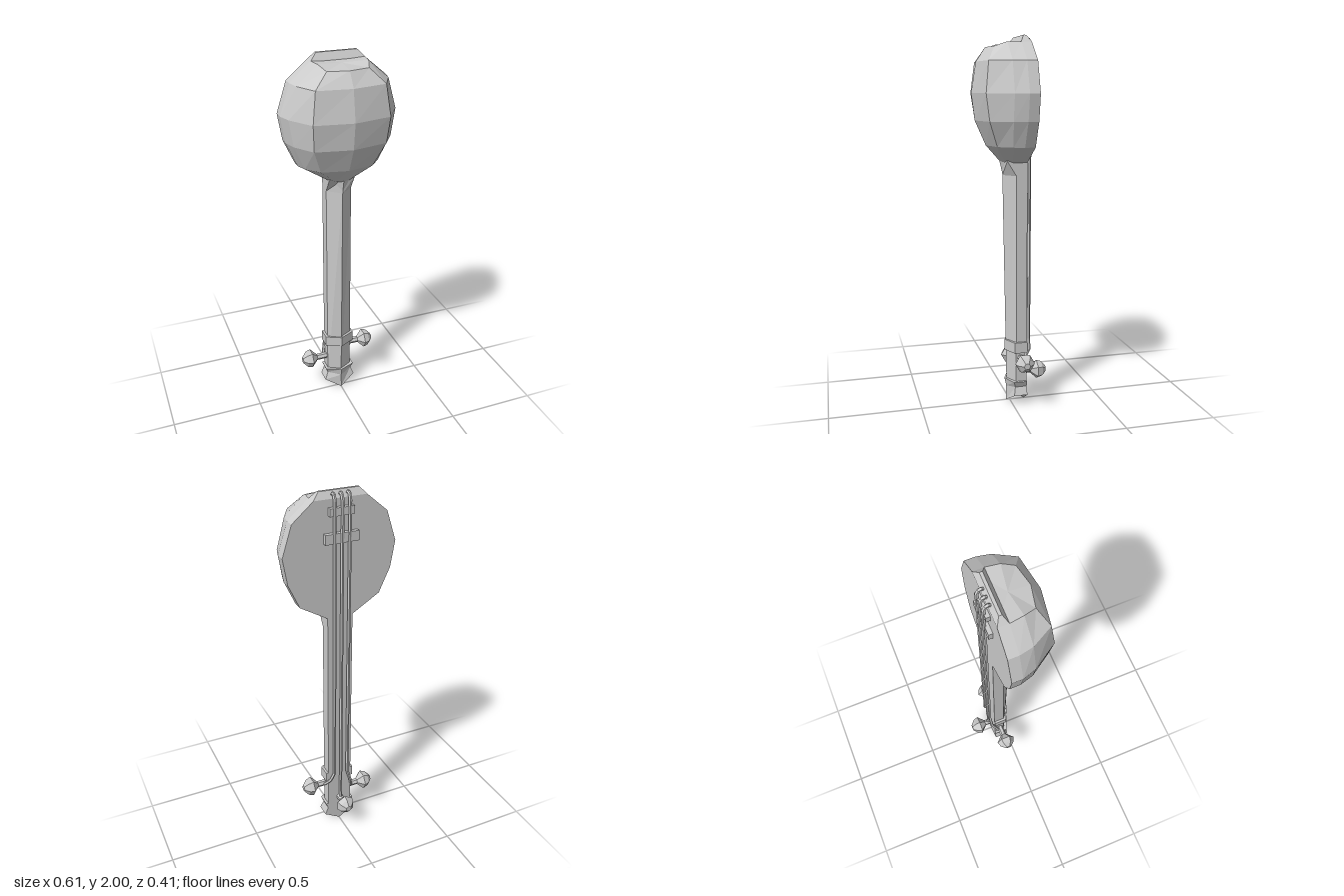
import * as THREE from 'three';

const material = new THREE.MeshStandardMaterial({ color: 0xcccccc, flatShading: true });

function add(group, name, geometry) {
  const mesh = new THREE.Mesh(geometry, material);
  mesh.name = name;
  group.add(mesh);
  return mesh;
}

// Mirrors half sections (back edge to front centre) and skins them from bottom to top.
function loft(rows) {
  const loops = rows.map((half) => {
    const mirrored = half.filter((p) => p[0] > 0).reverse().map(([x, y, z]) => [-x, y, z]);
    return [...half, ...mirrored];
  });
  const n = loops[0].length;
  const pos = [];
  const tri = (a, b, c) => pos.push(...a, ...b, ...c);
  for (let i = 0; i < loops.length - 1; i++) {
    for (let j = 0; j < n; j++) {
      const k = (j + 1) % n;
      const [lo, hi] = [loops[i], loops[i + 1]];
      tri(lo[j], hi[j], lo[k]);
      tri(lo[k], hi[j], hi[k]);
    }
  }
  const middle = (loop) => [0, 1, 2].map((a) => loop.reduce((s, p) => s + p[a], 0) / n);
  const [first, last] = [loops[0], loops[loops.length - 1]];
  const [c0, c1] = [middle(first), middle(last)];
  for (let j = 0; j < n; j++) {
    const k = (j + 1) % n;
    tri(c0, first[j], first[k]);
    tri(c1, last[k], last[j]);
  }
  const geometry = new THREE.BufferGeometry();
  geometry.setAttribute('position', new THREE.Float32BufferAttribute(pos, 3));
  geometry.computeVertexNormals();
  return geometry;
}

// Ridged section of the neck: flat at the back, pointed at the front.
const ridged = (y, w, side, front, centreY = y) => [
  [0, centreY, -0.08], [w, y, -0.08], [w, y, side], [0, centreY, front],
];

function createPeg(name, length) {
  const peg = new THREE.Group();
  peg.name = name;
  const shaft = add(peg, 'pegShaft', new THREE.CylinderGeometry(0.018, 0.018, length, 6));
  shaft.position.y = length / 2;
  const profile = [[0, 0], [0.018, 0], [0.054, 0.035], [0.045, 0.063], [0.018, 0.087], [0, 0.087]];
  const knob = add(peg, 'pegKnob', new THREE.LatheGeometry(profile.map((p) => new THREE.Vector2(...p)), 6));
  knob.position.y = length - 0.005;
  return peg;
}

export function createModel() {
  const model = new THREE.Group();
  model.name = 'stringInstrument';

  // Rounded bowl: height, rim half width, shoulder, front facet and centre depth
  const bowl = [
    [1.35, 0.07, 0.068, 0.0, 0.04, 0.035, 0.05],
    [1.44, 0.22, 0.2, 0.03, 0.14, 0.1, 0.13],
    [1.57, 0.28, 0.26, 0.045, 0.19, 0.15, 0.188],
    [1.71, 0.304, 0.282, 0.045, 0.2, 0.17, 0.206],
    [1.87, 0.252, 0.238, 0.045, 0.18, 0.152, 0.18],
    [1.965, 0.14, 0.13, 0.045, 0.108, 0.107, 0.13],
  ];
  add(model, 'body', loft(bowl.map(([y, w, wm, zm, wi, zi, zc], i) => {
    const dip = i === bowl.length - 1 ? 0.022 : 0;
    return [[w, y, -0.08], [w, y, -0.025], [wm, y, zm], [wi, y - dip, zi], [0, y - dip, zc]];
  })));

  // Neck, its heel, the collar and the pointed end
  add(model, 'neck', loft([ridged(0.08, 0.07, -0.02, 0.018), ridged(1.29, 0.07, -0.02, 0.04)]));
  add(model, 'neckHeel', loft([ridged(1.35, 0.07, -0.02, 0.04, 1.29), ridged(1.37, 0.08, 0.02, 0.06)]));
  add(model, 'neckTop', loft([ridged(1.28, 0.07, -0.02, 0.04), ridged(1.36, 0.07, 0.03, 0.045)]));
  add(model, 'collar', loft([ridged(0.3, 0.083, -0.01, 0.03), ridged(0.36, 0.083, -0.01, 0.03)]));
  add(model, 'neckEnd', loft([
    ridged(0.055, 0.09, -0.005, 0.022, 0),
    ridged(0.1, 0.072, -0.015, 0.02, 0.085),
    ridged(0.132, 0.085, -0.005, 0.03),
  ]));

  // Tailpiece on the rim
  add(model, 'tailpiece', loft([
    [[0.14, 1.95, -0.08], [0.14, 1.95, -0.02]],
    [[0.14, 1.965, -0.08], [0.14, 1.965, -0.025]],
    [[0.107, 2, -0.06], [0.107, 2, -0.045]],
  ]));

  // Bridges across the flat soundboard
  for (const [y, w, h] of [[1.905, 0.13, 0.04], [1.775, 0.18, 0.05]]) {
    add(model, 'bridge', new THREE.BoxGeometry(w, h, 0.026)).position.set(0, y, -0.089);
  }

  // Tuning pegs: one on each side and one at the back
  const leftPeg = createPeg('leftPeg', 0.085);
  leftPeg.position.set(0.045, 0.27, -0.045);
  leftPeg.rotation.z = -Math.PI / 2;
  const rightPeg = createPeg('rightPeg', 0.09);
  rightPeg.position.set(-0.045, 0.205, -0.045);
  rightPeg.rotation.z = Math.PI / 2;
  const backPeg = createPeg('backPeg', 0.06);
  backPeg.position.set(0, 0.165, -0.066);
  backPeg.rotation.x = -Math.PI / 2;
  model.add(leftPeg, rightPeg, backPeg);

  // Strings hook over the tailpiece and run down to the pegs
  const ends = [[-0.04, -0.085, 0.205, -0.06], [0, 0.0, 0.165, -0.1], [0.04, 0.085, 0.27, -0.06]];
  for (const [x, endX, endY, endZ] of ends) {
    const points = [
      [x, 1.965, -0.06], [x, 1.988, -0.07], [x, 1.988, -0.088], [x, 1.96, -0.1],
      [x, 0.36, -0.098], [(x + endX) / 2, (0.36 + endY) / 2, -0.095], [endX, endY, endZ],
    ].map((p) => new THREE.Vector3(...p));
    const path = new THREE.CurvePath();
    for (let i = 1; i < points.length; i++) path.add(new THREE.LineCurve3(points[i - 1], points[i]));
    add(model, 'string', new THREE.TubeGeometry(path, 120, 0.009, 5));
  }

  return model;
}
